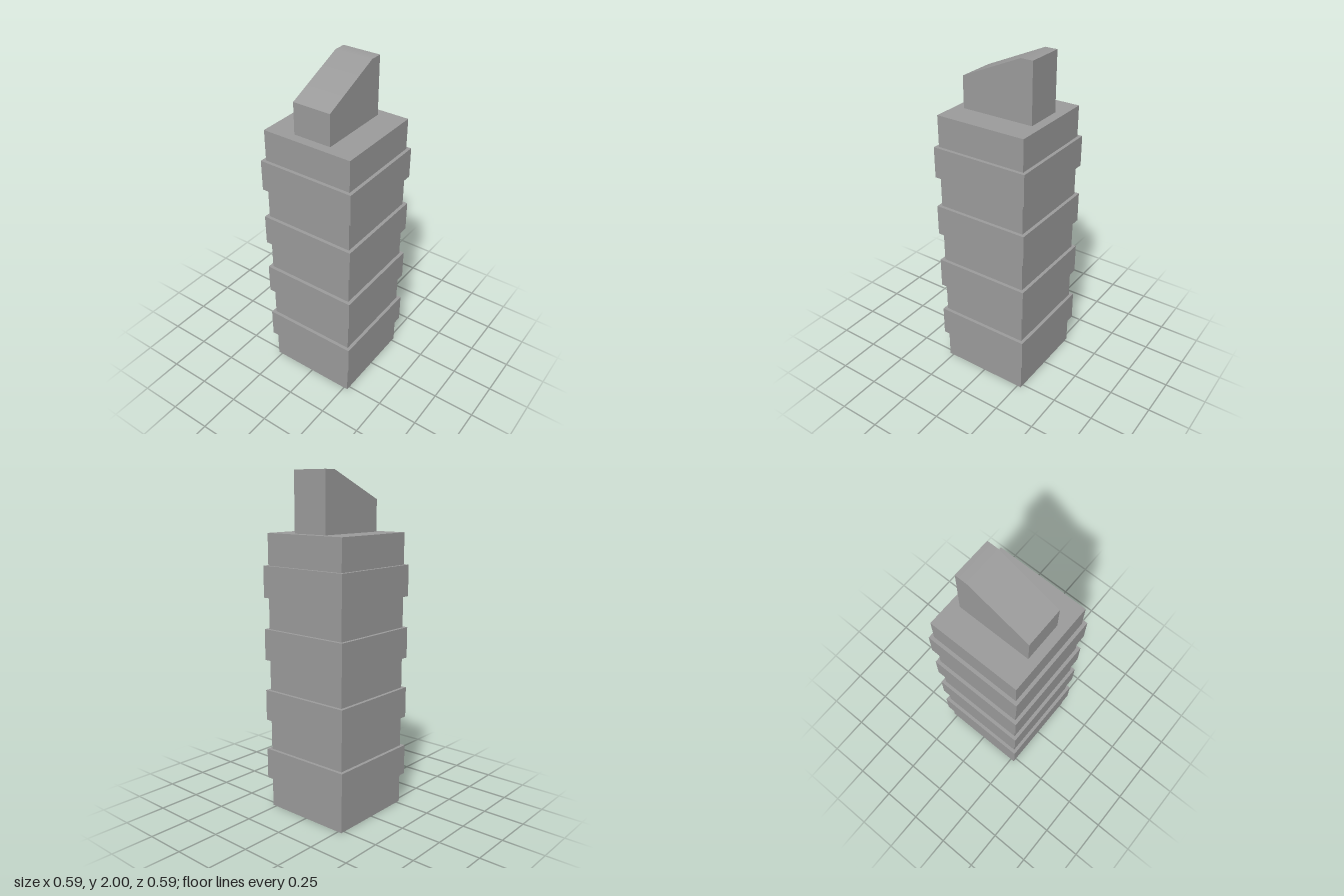
import * as THREE from 'three';

const STEP = 0.184;      // storey height
const TIERS = 9;
const ROOF = STEP * TIERS;
const NARROW = 0.275, WIDE = 0.295; // half widths of alternating storeys
const HX = 0.115, HZ = 0.22;        // half sizes of the roof block
const EAVE = 1.84, RIDGE = 2, RIDGE_Z = -0.147;

export function createModel() {
  const group = new THREE.Group();
  group.name = 'tower';
  const add = (name, geometry, flatShading) => {
    const mesh = new THREE.Mesh(geometry, new THREE.MeshStandardMaterial({
      color: 0x9b9b9b, side: THREE.DoubleSide, flatShading }));
    mesh.name = name;
    group.add(mesh);
  };

  // Hollow square shell, open underneath, with every other storey stepping out
  const profile = [];
  for (let i = 0; i < TIERS; i++) {
    const r = (i % 2 ? WIDE : NARROW) * Math.SQRT2;
    profile.push(new THREE.Vector2(r, i * STEP), new THREE.Vector2(r, (i + 1) * STEP));
  }
  add('storeys', new THREE.LatheGeometry(profile, 4, Math.PI / 4), true);

  // Flat roof, open beneath the roof block
  const rect = (path, x, z) => path.moveTo(-x, -z).lineTo(x, -z).lineTo(x, z).lineTo(-x, z).closePath();
  const roof = rect(new THREE.Shape(), NARROW, NARROW);
  roof.holes.push(rect(new THREE.Path(), HX, HZ));
  add('roof', new THREE.ShapeGeometry(roof).rotateX(-Math.PI / 2).translate(0, ROOF, 0), true);

  // Roof block with a slope falling to the front; its side outline is pushed across x
  const side = new THREE.Shape([
    [-HZ, ROOF], [HZ, ROOF], [HZ, EAVE], [RIDGE_Z, RIDGE], [-HZ, RIDGE],
  ].map(([z, y]) => new THREE.Vector2(z, y)));
  const block = new THREE.ExtrudeGeometry(side, { depth: HX * 2, bevelEnabled: false })
    .rotateY(-Math.PI / 2).translate(HX, 0, 0);

  // Leave out the underside so the block stays open to the shell
  const p = block.attributes.position, kept = [];
  for (let i = 0; i < p.count; i += 3) {
    const corners = [i, i + 1, i + 2];
    if (corners.every((k) => p.getY(k) < ROOF + 0.001)) continue;
    corners.forEach((k) => kept.push(p.getX(k), p.getY(k), p.getZ(k)));
  }
  const shell = new THREE.BufferGeometry();
  shell.setAttribute('position', new THREE.Float32BufferAttribute(kept, 3));
  shell.computeVertexNormals();

  // Blend the slope softly into the flat top along the ridge
  const { position, normal } = shell.attributes;
  const half = Math.atan2(RIDGE - EAVE, HZ - RIDGE_Z) / 2;
  for (let i = 0; i < position.count; i++) {
    const onRidge = Math.abs(position.getZ(i) - RIDGE_Z) < 0.001;
    if (onRidge && normal.getY(i) > 0.5) normal.setXYZ(i, 0, Math.cos(half), Math.sin(half));
  }
  add('roofBlock', shell, false);

  return group;
}
